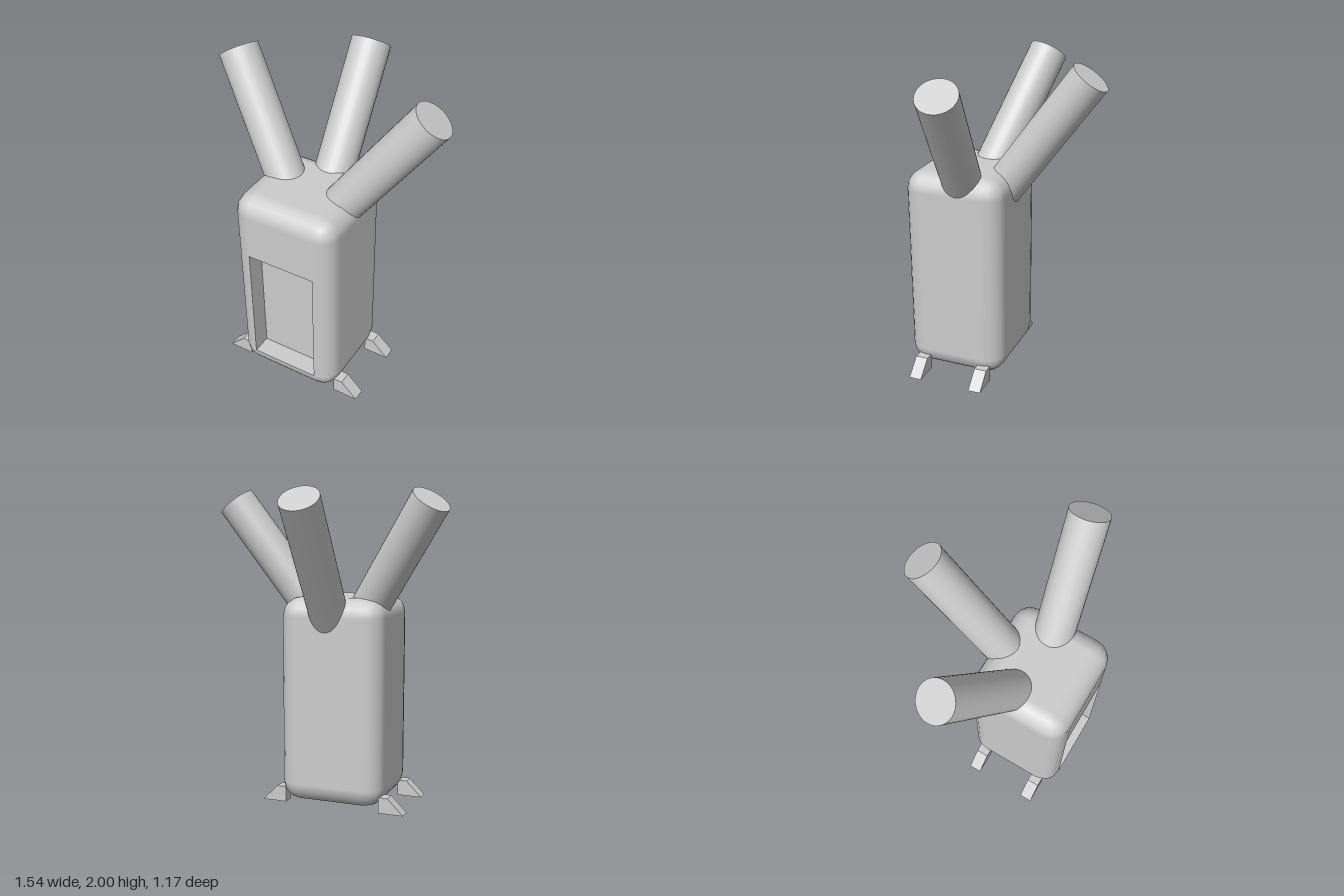
import * as THREE from 'three';
import { RoundedBoxGeometry } from 'three/addons/geometries/RoundedBoxGeometry.js';

const W = 0.675, H = 1.31, D = 0.635, R = 0.12;   // body size and edge radius
const CX = -0.0375, Y0 = 0.025, CZ = 0.2635;      // body centre and underside
const NICHE_TOP = 0.935, NICHE_DEPTH = 0.12;

export function createModel() {
  const model = new THREE.Group();
  const grey = new THREE.MeshStandardMaterial({ color: 0xcccccc });
  const add = (name, geometry, x = 0, y = 0, z = 0) => {
    const mesh = new THREE.Mesh(geometry, grey);
    mesh.name = name;
    mesh.position.set(x, y, z);
    model.add(mesh);
    return mesh;
  };

  // Rounded body, with its flat front panel left open
  add('body', withoutFrontPanel(new RoundedBoxGeometry(W, H, D, 2, R)), CX, Y0 + H / 2, CZ);

  // Flat panel above the niche
  const front = CZ + D / 2, flatW = W - 2 * R;
  const bottom = Y0 + R, top = Y0 + H - R;
  add('frontPanel', new THREE.PlaneGeometry(flatW, top - NICHE_TOP),
    CX, (top + NICHE_TOP) / 2, front);

  // Niche: a box turned inside out, without its front face
  const niche = new THREE.BoxGeometry(flatW, NICHE_TOP - bottom, NICHE_DEPTH);
  const index = Array.from(niche.index.array);
  index.splice(24, 6);
  niche.setIndex(index);
  niche.clearGroups();
  niche.scale(-1, 1, 1);
  niche.computeVertexNormals();
  add('niche', niche, CX, (bottom + NICHE_TOP) / 2, front - NICHE_DEPTH / 2);

  // Three slanted pipes: start inside the body, end at the open air
  const pipes = [
    ['pipeRight', [-0.114, 1.1, 0.241], [-0.67, 1.928, -0.012]],
    ['pipeBack', [-0.015, 1.1, 0.115], [-0.042, 1.928, -0.488]],
    ['pipeLeft', [0.06, 1.1, 0.242], [0.667, 1.928, 0.136]],
  ];
  for (const [name, a, b] of pipes) {
    const from = new THREE.Vector3(...a), to = new THREE.Vector3(...b);
    const dir = to.clone().sub(from);
    const mid = from.clone().add(to).multiplyScalar(0.5);
    const pipe = add(name, new THREE.CylinderGeometry(0.122, 0.122, dir.length(), 32), ...mid);
    pipe.quaternion.setFromUnitVectors(new THREE.Vector3(0, 1, 0), dir.normalize());
  }

  // Four wedge feet, mirrored left and right
  const thick = 0.08;
  for (const side of [-1, 1]) {
    const profile = [[0.315, 0], [0.477, 0], [0.375, 0.1], [0.315, 0.1]]
      .map(([x, y]) => new THREE.Vector2(side * x, y));
    const foot = new THREE.ExtrudeGeometry(new THREE.Shape(profile),
      { depth: thick, bevelEnabled: false });
    const label = side < 0 ? 'Right' : 'Left';
    add('frontFoot' + label, foot, CX, 0, 0.465 - thick / 2);
    add('backFoot' + label, foot, CX, 0, 0.055 - thick / 2);
  }
  return model;
}

// Drop the triangles lying flat on the front plane
function withoutFrontPanel(source) {
  const geometry = source.index ? source.toNonIndexed() : source;
  const pos = geometry.attributes.position, nor = geometry.attributes.normal;
  const points = [], normals = [];
  for (let i = 0; i < pos.count; i += 3) {
    if ([0, 1, 2].every(k => pos.getZ(i + k) > D / 2 - 1e-4)) continue;
    for (let k = i; k < i + 3; k++) {
      points.push(pos.getX(k), pos.getY(k), pos.getZ(k));
      normals.push(nor.getX(k), nor.getY(k), nor.getZ(k));
    }
  }
  const result = new THREE.BufferGeometry();
  result.setAttribute('position', new THREE.Float32BufferAttribute(points, 3));
  result.setAttribute('normal', new THREE.Float32BufferAttribute(normals, 3));
  return result;
}
